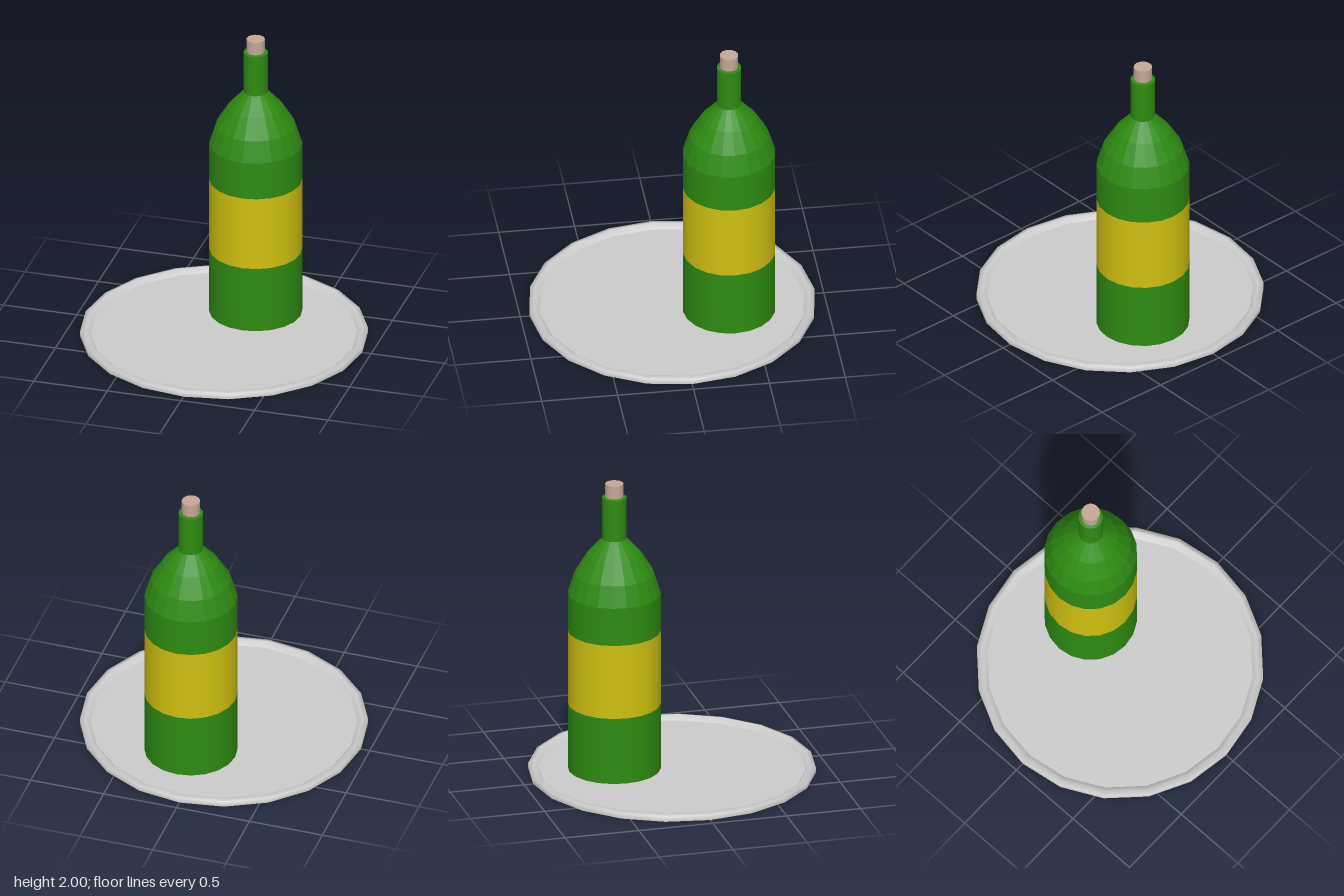
import * as THREE from 'three';

const SIDES = 20;

// Surface of revolution from [radius, height] pairs, listed bottom to top along the outside
function lathe(name, profile, color, flatShading = false) {
  const points = profile.map(([r, y]) => new THREE.Vector2(r, y));
  const material = new THREE.MeshStandardMaterial({ color, flatShading, side: THREE.DoubleSide });
  const mesh = new THREE.Mesh(new THREE.LatheGeometry(points, SIDES), material);
  mesh.name = name;
  return mesh;
}

export function createModel() {
  const model = new THREE.Group();
  model.name = 'bottleOnTray';
  const grey = 0xcccccc, green = 0x2e8b12, yellow = 0xcfc010, corkBrown = 0xc4a898;

  // Shallow round tray with a raised rim
  const tray = new THREE.Group();
  tray.name = 'tray';
  tray.add(
    lathe('trayBase', [[0, 0], [0.94, 0]], grey),
    lathe('trayRim', [[0.94, 0], [0.94, 0.035], [0.905, 0.045], [0.87, 0.015]], grey),
    lathe('trayFloor', [[0.87, 0.015], [0, 0.015]], grey),
  );

  // Bottle standing towards the back of the tray
  const bottle = new THREE.Group();
  bottle.name = 'bottle';
  bottle.position.set(0.11, 0, -0.36);
  const R = 0.304;
  bottle.add(
    lathe('bottleBottom', [[0, 0.016], [R, 0.016]], green),
    lathe('lowerBody', [[R, 0.016], [R, 0.47]], green),
    lathe('label', [[R, 0.47], [R, 0.98]], yellow),
    lathe('upperBody', [[R, 0.98], [R, 1.24]], green),
    lathe('shoulder', [[R, 1.24], [0.26, 1.38], [0.18, 1.51], [0.08, 1.62]], green, true),
    lathe('neck', [[0.08, 1.62], [0.08, 1.905]], green),
    lathe('lip', [[0.08, 1.905], [0.06, 1.91]], green),
    lathe('corkSide', [[0.06, 1.88], [0.06, 2]], corkBrown),
    lathe('corkTop', [[0.06, 2], [0, 2]], corkBrown),
  );

  model.add(tray, bottle);
  return model;
}
